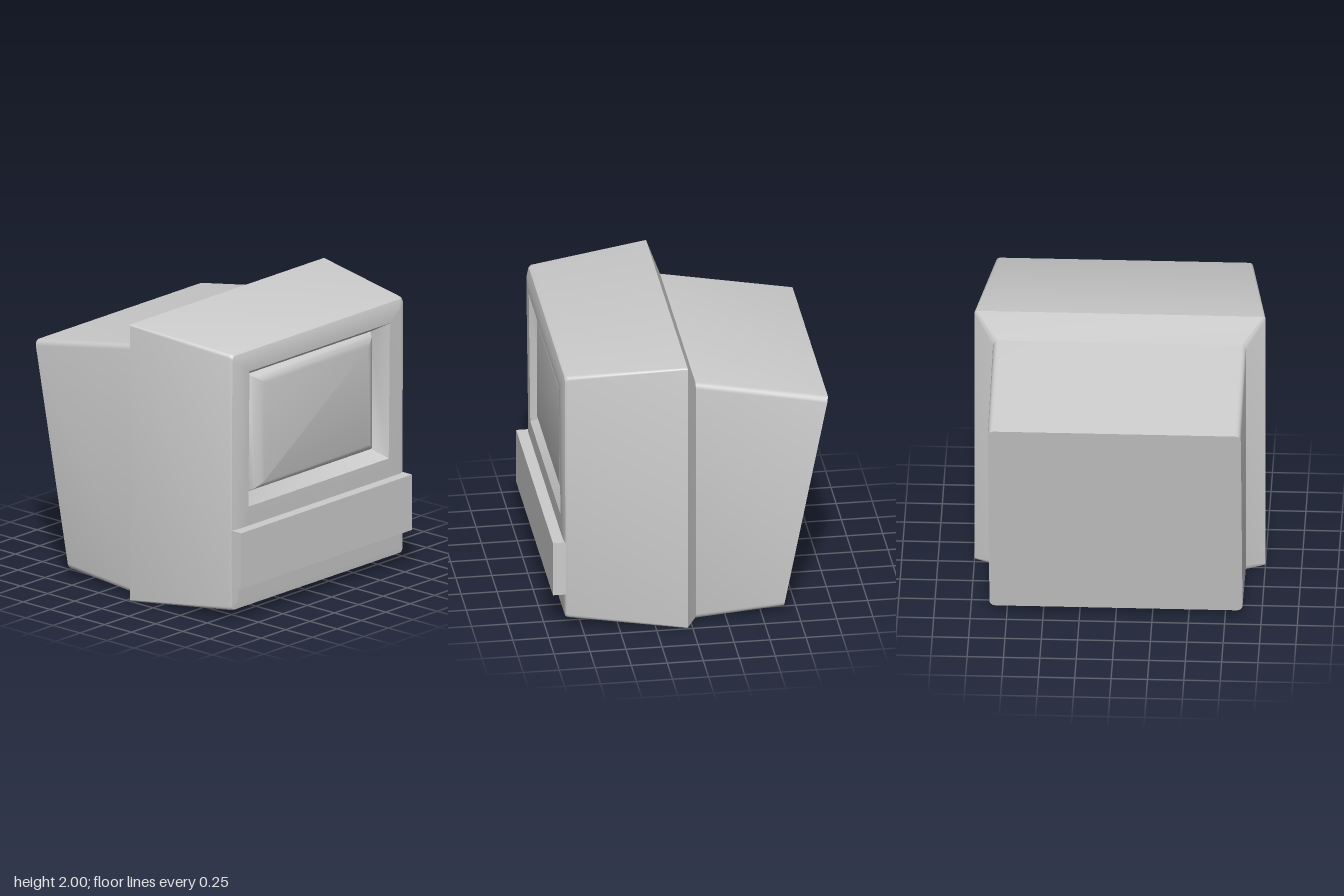
import * as THREE from 'three';
import { toCreasedNormals } from 'three/addons/utils/BufferGeometryUtils.js';

const material = new THREE.MeshStandardMaterial({ color: 0xcccccc });
const ARC = 4; // segments per rounded corner

// Rounded rectangle facing +x; x runs from xBottom to xTop so faces can lean.
function ring([xBottom, xTop, y0, y1, halfZ, r]) {
  const points = [];
  const corners = [[1, 1], [-1, 1], [-1, -1], [1, -1]];
  corners.forEach(([right, up], c) => {
    for (let k = 0; k <= ARC; k++) {
      const a = (c + k / ARC) * Math.PI / 2;
      const z = -(right * (halfZ - r) + r * Math.cos(a));
      const y = (up > 0 ? y1 - r : y0 + r) + r * Math.sin(a);
      points.push([xBottom + (xTop - xBottom) * (y - y0) / (y1 - y0), y, z]);
    }
  });
  return points;
}

// Skin consecutive rings, optionally closing the first and last one.
function loft(name, sections, capBack = false, capFront = false) {
  const rings = sections.map(ring);
  const n = rings[0].length;
  const positions = rings.flat(2);
  const index = [];
  for (let i = 0; i < rings.length - 1; i++) {
    for (let j = 0; j < n; j++) {
      const a = i * n + j, b = i * n + (j + 1) % n;
      index.push(a, b, b + n, a, b + n, a + n);
    }
  }
  const last = (rings.length - 1) * n;
  for (let j = 1; j < n - 1; j++) {
    if (capBack) index.push(0, j + 1, j);
    if (capFront) index.push(last, last + j, last + j + 1);
  }
  const geometry = new THREE.BufferGeometry();
  geometry.setAttribute('position', new THREE.Float32BufferAttribute(positions, 3));
  geometry.setIndex(index);
  const mesh = new THREE.Mesh(toCreasedNormals(geometry, 0.6), material);
  mesh.name = name;
  return mesh;
}

export function createModel() {
  const model = new THREE.Group();
  model.name = 'monitor';

  // Sections: [xBottom, xTop, yBottom, yTop, halfWidth, cornerRadius]
  const collarBack = [-0.04, -0.04, 0, 1.81, 0.87, 0.04];
  const rim = [0.035, 0.035, 0, 2, 1, 0.012];
  const shellFront = [0.85, 0.85, 0.08, 1.932, 0.885, 0.03];
  const bezelEdge = [0.865, 0.87, 0.085, 1.92, 0.875, 0.03];
  const bezelFace = [0.87, 0.89, 0.13, 1.86, 0.83, 0.01];
  const opening = [0.878, 0.889, 0.80, 1.78, 0.72, 0.002];
  const valley = [0.79, 0.79, 0.87, 1.72, 0.63, 0.002];

  // Tapered rear housing with a leaning back face
  model.add(loft('rearHousing', [[-0.65, -0.96, 0.05, 1.64, 0.87, 0.04], collarBack], true));

  // Flared collar and front shell
  model.add(loft('collar', [collarBack, rim]));
  model.add(loft('frontShell', [rim, shellFront, bezelEdge]));

  // Bezel running into the recessed surround
  model.add(loft('bezel', [bezelEdge, bezelFace, opening]));
  model.add(loft('screenSurround', [opening, valley]));

  // Raised screen with softly bevelled borders
  model.add(loft('screen', [
    valley,
    [0.83, 0.83, 0.893, 1.697, 0.6, 0.002],
    [0.853, 0.853, 0.92, 1.67, 0.56, 0.002],
    [0.86, 0.86, 0.94, 1.645, 0.53, 0.002],
  ], false, true));

  // Control panel bar below the screen
  const panel = new THREE.Mesh(new THREE.BoxGeometry(0.09, 0.4, 1.755), material);
  panel.name = 'controlPanel';
  panel.position.set(0.908, 0.462, 0);
  model.add(panel);

  return model;
}
